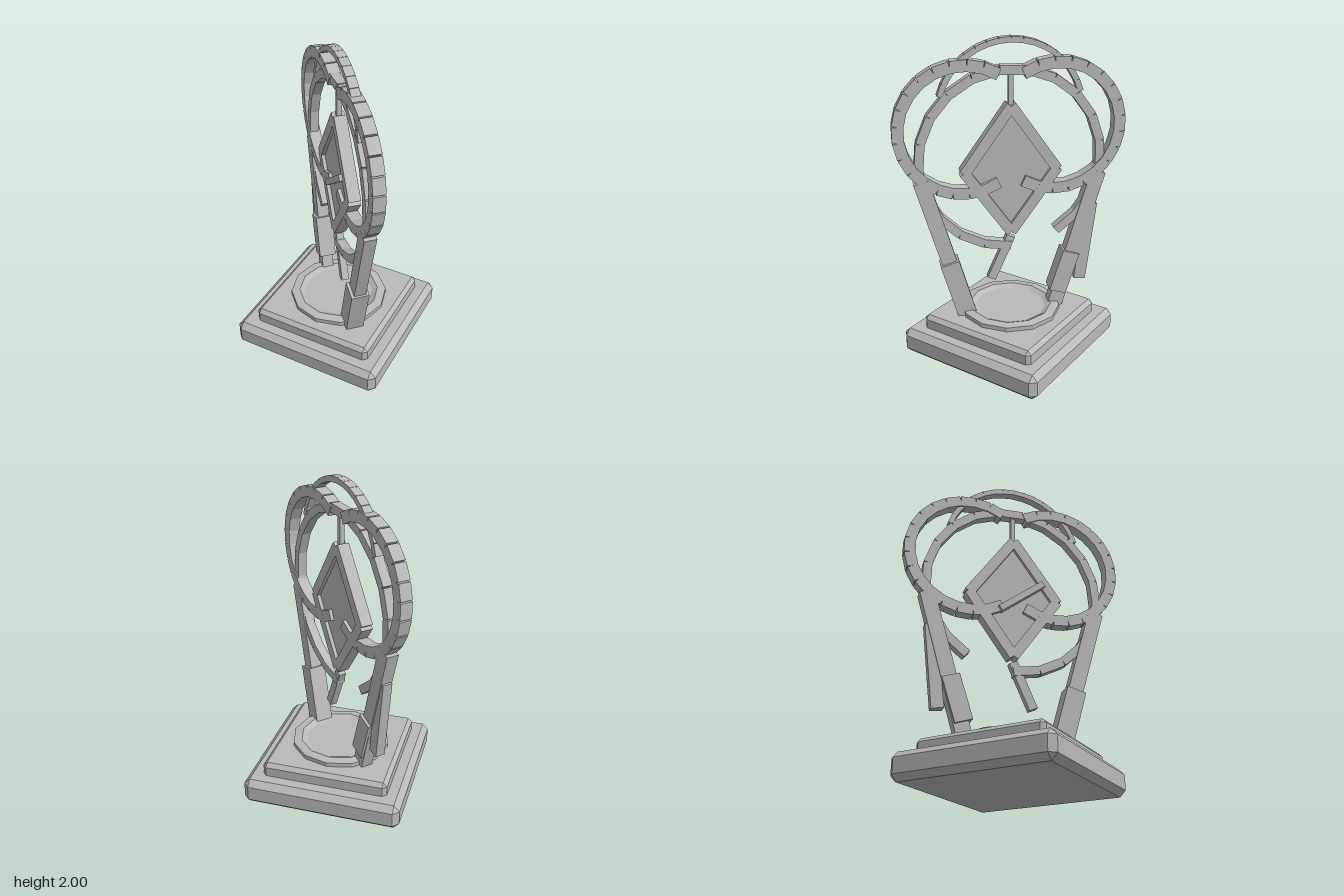
import * as THREE from 'three';
import { ConvexGeometry } from 'three/addons/geometries/ConvexGeometry.js';

const stone = new THREE.MeshStandardMaterial({ color: 0xbababa });
stone.name = 'pale grey';

function add(parent, name, geometry) {
  const mesh = new THREE.Mesh(geometry, stone);
  mesh.name = name;
  parent.add(mesh);
  return mesh;
}

// Box with every edge and corner chamfered by c
function chamferBox(half, y0, y1, c) {
  const points = [];
  const mid = (y0 + y1) / 2, h = (y1 - y0) / 2;
  for (const x of [-1, 1]) for (const y of [-1, 1]) for (const z of [-1, 1]) {
    points.push(
      new THREE.Vector3(x * half, mid + y * (h - c), z * (half - c)),
      new THREE.Vector3(x * (half - c), mid + y * h, z * (half - c)),
      new THREE.Vector3(x * (half - c), mid + y * (h - c), z * half));
  }
  return new ConvexGeometry(points);
}

// Straight bar between two points of the sculpture plane
function bar(parent, name, [x0, y0], [x1, y1], width, depth, z = 0) {
  const mesh = add(parent, name,
    new THREE.BoxGeometry(width, Math.hypot(x1 - x0, y1 - y0), depth));
  mesh.position.set((x0 + x1) / 2, (y0 + y1) / 2, z);
  mesh.rotation.z = Math.atan2(x0 - x1, y1 - y0);
  return mesh;
}

// Arc assembled from short straight blocks, angles in degrees
function blockArc(parent, name, cx, cy, radius, from, to, count, width, depth) {
  const group = new THREE.Group();
  group.name = name;
  parent.add(group);
  const step = THREE.MathUtils.degToRad((to - from) / count);
  const start = THREE.MathUtils.degToRad(from);
  for (let i = 0; i < count; i++) {
    const a = start + (i + 0.5) * step;
    const block = add(group, 'arcBlock',
      new THREE.BoxGeometry(width, 2 * radius * Math.tan(step / 2), depth));
    block.position.set(cx + radius * Math.cos(a), cy + radius * Math.sin(a), 0);
    block.rotation.z = a;
  }
  return group;
}

export function createModel() {
  const model = new THREE.Group();
  model.name = 'abstractTrophy';

  // Stepped plinth
  add(model, 'lowerPlinth', chamferBox(0.5, 0, 0.167, 0.037));
  add(model, 'upperPlinth', chamferBox(0.4, 0.12, 0.253, 0.025));

  // Shallow faceted dish on the plinth
  const rim = [[0.315, 0.24], [0.315, 0.28], [0.26, 0.287], [0.225, 0.268], [0, 0.268]]
    .map(([x, y]) => new THREE.Vector2(x, y));
  const dish = new THREE.LatheGeometry(rim, 12).toNonIndexed();
  dish.computeVertexNormals();
  add(model, 'dish', dish);

  // Upright sculpture stands on the diagonal of the plinth
  const sculpture = new THREE.Group();
  sculpture.name = 'sculpture';
  sculpture.rotation.y = -Math.PI / 4;
  model.add(sculpture);

  // Leaning posts with side rings
  for (const s of [-1, 1]) {
    bar(sculpture, 'post', [s * 0.285, 0.255], [s * 0.545, 1.16], 0.095, 0.075);
    const ring = blockArc(sculpture, 'sideRing', s * 0.28, 1.46, 0.385, -122, 122, 17, 0.07, 0.074);
    if (s < 0) {
      ring.position.set(-0.56, 2.92, 0);
      ring.rotation.z = Math.PI;
    }
  }

  // Blocks fixed to the posts
  bar(sculpture, 'rightPostSleeve', [0.287, 0.255], [0.39, 0.62], 0.12, 0.113);
  bar(sculpture, 'leftPostSleeve', [-0.3, 0.36], [-0.385, 0.63], 0.11, 0.11);
  bar(sculpture, 'leftPostPlate', [-0.45, 0.43], [-0.51, 0.95], 0.075, 0.06);

  // Open central ring and crowning arc
  blockArc(sculpture, 'centralRing', 0, 1.26, 0.55, -90, 239, 19, 0.055, 0.058);
  blockArc(sculpture, 'crownArc', 0, 1.55, 0.433, 16, 164, 16, 0.034, 0.055);

  // Hanging diamond frame with recessed panel
  bar(sculpture, 'hangingRod', [0, 1.58], [0, 1.81], 0.03, 0.03);
  for (const sx of [-1, 1]) for (const sy of [-1, 1]) {
    bar(sculpture, 'diamondFrame', [0, 1.2 + sy * 0.4], [sx * 0.285, 1.2 - sy * 0.005], 0.065, 0.075);
  }
  const diamond = new THREE.Shape(
    [[0, -0.38], [0.275, 0], [0, 0.38], [-0.275, 0]].map(([x, y]) => new THREE.Vector2(x, y)));
  const panel = add(sculpture, 'diamondPanel',
    new THREE.ExtrudeGeometry(diamond, { depth: 0.03, bevelEnabled: false }));
  panel.position.set(0, 1.2, -0.015);

  // Loose accents
  bar(sculpture, 'panelBar', [-0.09, 1.1], [0.19, 1.31], 0.04, 0.045, 0.035);
  bar(sculpture, 'pendantBar', [0, 0.765], [0.125, 0.48], 0.055, 0.045);

  return model;
}
